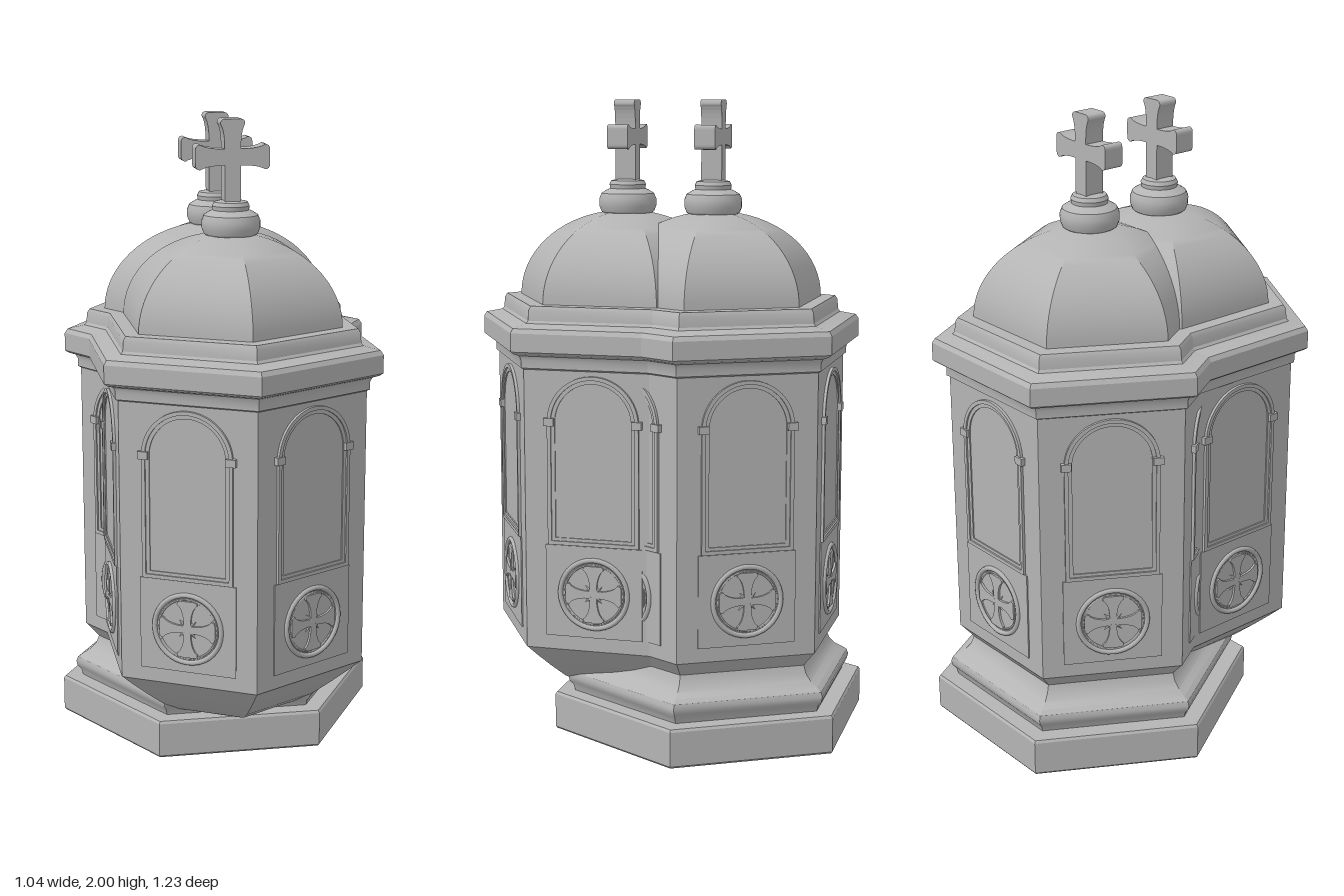
import * as THREE from 'three';
import { toCreasedNormals } from 'three/addons/utils/BufferGeometryUtils.js';

const stone = new THREE.MeshStandardMaterial({ color: 0xb4b4b4 });
stone.name = 'grey stone';

const APOTHEM = 0.384; // wall distance from the tower axis

function add(parent, name, geometry, x = 0, y = 0, z = 0) {
  const mesh = new THREE.Mesh(geometry, stone);
  mesh.name = name;
  mesh.position.set(x, y, z);
  parent.add(mesh);
  return mesh;
}

// Turned profile of [radius, height] pairs, from bottom to top
function turned(profile, sides, start = 0) {
  const points = profile.map(([r, y]) => new THREE.Vector2(r, y));
  return toCreasedNormals(new THREE.LatheGeometry(points, sides, start), 0.55);
}

// Cross with flared arms; the lower arm may be a plain, longer stem
function crossShape(reach, half, flare, stem = 0) {
  const shape = new THREE.Shape();
  for (let i = 0; i < 4; i++) {
    const a = i * Math.PI / 2, c = Math.cos(a), s = Math.sin(a);
    const at = (u, v) => [c * u - s * v, s * u + c * v];
    const plain = i === 3 && stem > 0;
    const r = plain ? stem : reach, f = plain ? half : flare;
    if (i === 0) shape.moveTo(...at(half, -half));
    else shape.lineTo(...at(half, -half));
    shape.quadraticCurveTo(...at(r * 0.7, -half), ...at(r * 0.87, -f));
    shape.quadraticCurveTo(...at(r, -f), ...at(r, -f * 0.6));
    shape.lineTo(...at(r, f * 0.6));
    shape.quadraticCurveTo(...at(r, f), ...at(r * 0.87, f));
    shape.quadraticCurveTo(...at(r * 0.7, half), ...at(half, half));
  }
  shape.closePath();
  return shape;
}

// Arched outline, used for the window mouldings
function archPath(target, half, bottom, spring) {
  target.moveTo(-half, bottom);
  target.lineTo(half, bottom);
  target.lineTo(half, spring);
  target.absarc(0, spring, half, 0, Math.PI, false);
  target.lineTo(-half, bottom);
  return target;
}

function archFrame(outer, inner, bottom, depth) {
  const shape = archPath(new THREE.Shape(), outer, bottom, 1.025);
  shape.holes.push(archPath(new THREE.Path(), inner, bottom + outer - inner, 1.025));
  return new THREE.ExtrudeGeometry(shape, { depth, bevelEnabled: false, curveSegments: 20 });
}

// Shared details of one wall
const outerFrame = archFrame(0.146, 0.134, 0.642, 0.009);
const innerFrame = archFrame(0.134, 0.122, 0.652, 0.004);
const capital = new THREE.BoxGeometry(0.032, 0.024, 0.024);
const lowerPanel = new THREE.BoxGeometry(0.31, 0.29, 0.008);
const ring = new THREE.TorusGeometry(0.108, 0.008, 8, 36);
const innerRing = new THREE.TorusGeometry(0.094, 0.003, 6, 36);
const reliefCross = new THREE.ExtrudeGeometry(crossShape(0.09, 0.011, 0.033),
  { depth: 0.008, bevelEnabled: false, curveSegments: 5 });
const point = new THREE.ConeGeometry(0.009, 0.03, 4);

function wallDetails(angle) {
  const pivot = new THREE.Group();
  pivot.name = 'wallDetails';
  pivot.rotation.y = angle;
  add(pivot, 'windowArch', outerFrame, 0, 0, APOTHEM);
  add(pivot, 'windowInnerMoulding', innerFrame, 0, 0, APOTHEM);
  for (const side of [-1, 1]) add(pivot, 'archCapital', capital, side * 0.14, 1.026, APOTHEM + 0.002);
  add(pivot, 'lowerPanel', lowerPanel, 0, 0.495, APOTHEM);
  add(pivot, 'medallionRing', ring, 0, 0.49, APOTHEM + 0.005);
  add(pivot, 'medallionInnerRing', innerRing, 0, 0.49, APOTHEM + 0.004);
  add(pivot, 'medallionCross', reliefCross, 0, 0.49, APOTHEM + 0.003);
  // Small points between the arms of the relief cross
  for (let i = 0; i < 4; i++) {
    const a = Math.PI / 4 + i * Math.PI / 2;
    const tip = add(pivot, 'medallionPoint', point,
      Math.cos(a) * 0.025, 0.49 + Math.sin(a) * 0.025, APOTHEM + 0.004);
    tip.rotation.z = a - Math.PI / 2;
  }
  return pivot;
}

// Parts common to both towers: walls, cornice, dome, finial and cross
function tower(name, z, start, faceAngles) {
  const group = new THREE.Group();
  group.name = name;
  group.position.z = z;

  add(group, 'walls', turned([[0.443, 0.305], [0.443, 1.2]], 6, start));
  add(group, 'cornice', turned([
    [0.443, 1.185], [0.453, 1.19], [0.453, 1.215], [0.46, 1.228], [0.482, 1.235],
    [0.494, 1.243], [0.494, 1.3], [0.484, 1.314], [0.43, 1.325], [0.423, 1.333],
    [0.42, 1.365], [0.412, 1.377], [0.3, 1.378]], 6, start));

  const dome = [];
  for (let i = 0; i <= 18; i++) {
    const t = i / 18 * Math.PI / 2;
    dome.push([0.363 * Math.cos(t), 1.376 + 0.278 * Math.sin(t)]);
  }
  add(group, 'dome', turned(dome, 6, start));

  add(group, 'finial', turned([
    [0.07, 1.64], [0.084, 1.65], [0.091, 1.668], [0.091, 1.69], [0.084, 1.707],
    [0.066, 1.718], [0.056, 1.722], [0.058, 1.735], [0.052, 1.747], [0.03, 1.752], [0, 1.752]], 32));
  const cross = new THREE.ExtrudeGeometry(crossShape(0.115, 0.025, 0.038, 0.145),
    { depth: 0.066, bevelEnabled: false, curveSegments: 6 });
  add(group, 'topCross', cross, 0, 1.885, -0.033);

  for (const degrees of faceAngles) group.add(wallDetails(degrees * Math.PI / 180));
  return group;
}

export function createModel() {
  const model = new THREE.Group();
  model.name = 'twinDomedShrine';

  // Rear tower stands on a moulded plinth
  const rearStart = Math.PI / 6;
  const rear = tower('rearTower', -0.16, rearStart, [60, 120, 180, 240, 300]);
  add(rear, 'plinth', turned([
    [0, 0], [0.516, 0], [0.521, 0.006], [0.521, 0.114], [0.515, 0.122], [0, 0.122]], 6, rearStart));
  add(rear, 'baseMoulding', turned([
    [0.455, 0.12], [0.462, 0.142], [0.474, 0.155], [0.478, 0.172], [0.472, 0.187], [0.455, 0.198],
    [0.43, 0.212], [0.41, 0.232], [0.4, 0.258], [0.405, 0.264], [0.443, 0.306]], 6, rearStart));
  model.add(rear);

  // Front tower hangs over the plinth on a tapering bowl
  const front = tower('frontTower', 0.12, 0, [30, 90, 270, 330]);
  add(front, 'bowl', turned([
    [0, 0.08], [0.1, 0.1], [0.175, 0.12], [0.23, 0.142], [0.285, 0.175],
    [0.345, 0.222], [0.4, 0.268], [0.443, 0.306]], 6));
  model.add(front);

  return model;
}
